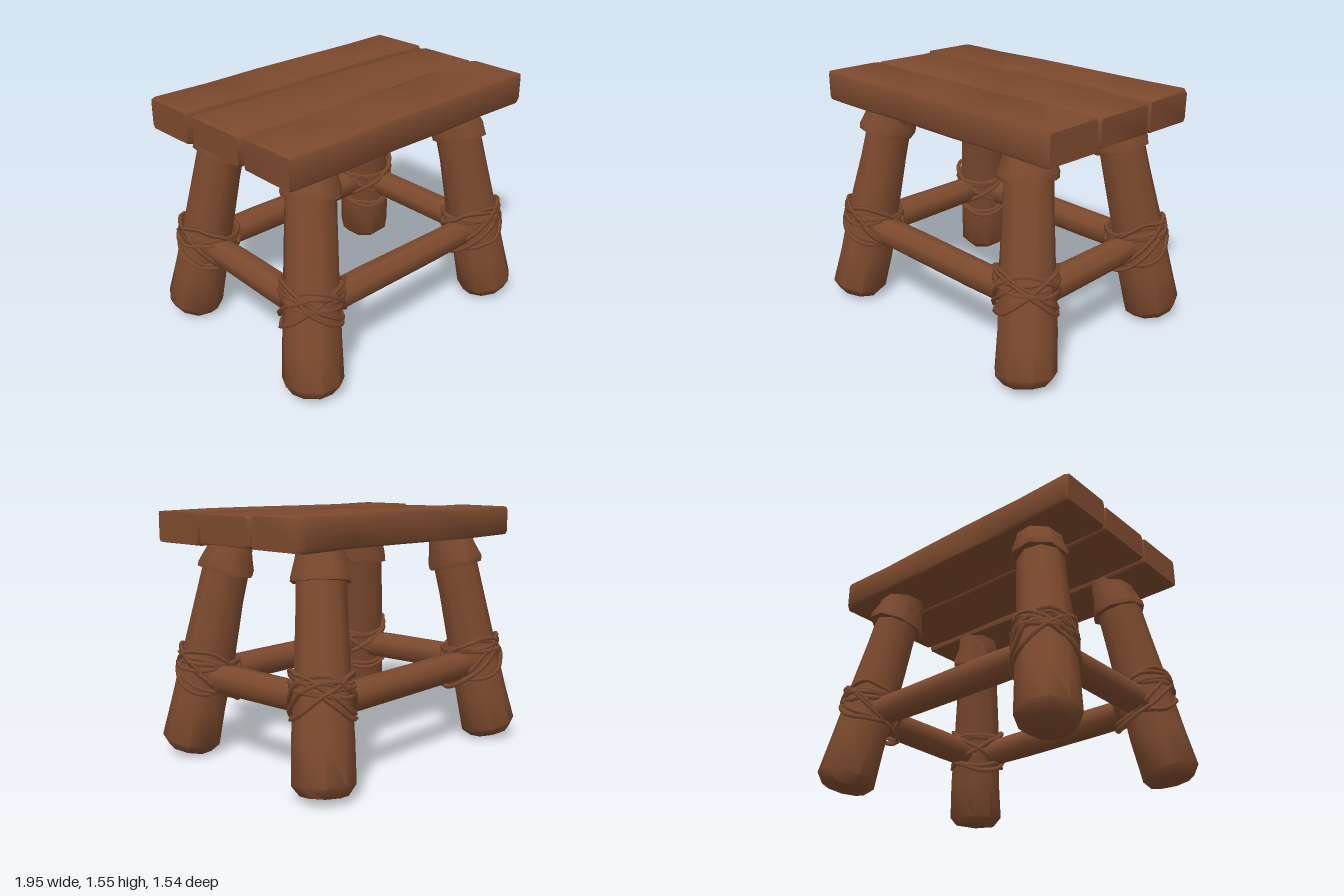
import * as THREE from 'three';
import { mergeVertices, toCreasedNormals } from 'three/addons/utils/BufferGeometryUtils.js';

const wood = new THREE.MeshStandardMaterial({ color: 0x7d4a2e });
wood.name = 'brownWood';

// Small seeded random source for hand-hewn irregularity
let seed = 7;
const rand = () => {
  seed = (seed * 16807) % 2147483647;
  return seed / 2147483647 - 0.5;
};

function add(parent, geometry, name) {
  const mesh = new THREE.Mesh(geometry, wood);
  mesh.name = name;
  parent.add(mesh);
  return mesh;
}

// Rough log turned from a [radius, height] profile; vertices shifted slightly but kept joined
function log(profile, sides, wobble, crease = 0.9) {
  let g = new THREE.LatheGeometry(profile.map(([r, y]) => new THREE.Vector2(r, y)), sides, 0.3);
  g.deleteAttribute('normal');
  g.deleteAttribute('uv');
  g = mergeVertices(g, 1e-4);
  const p = g.attributes.position;
  for (let i = 0; i < p.count; i++) {
    if (Math.hypot(p.getX(i), p.getZ(i)) < 0.01) continue;
    const k = 1 + rand() * wobble;
    p.setXYZ(i, p.getX(i) * k, p.getY(i) + rand() * wobble * 0.15, p.getZ(i) * k);
  }
  return toCreasedNormals(g, crease);
}

// Plank lofted along x from a chamfered section, with gently wavy edges
function plank(x0, x1, z0, z1, y0, y1) {
  const stations = [0, 0.015, 0.2, 0.4, 0.6, 0.8, 0.985, 1];
  const section = [[-1, -0.8], [-0.94, -1], [0.94, -1], [1, -0.8], [1, 0.8], [0.94, 1], [-0.94, 1], [-1, 0.8]];
  const n = section.length, pos = [], idx = [];
  const cy = (y0 + y1) / 2, cz = (z0 + z1) / 2, hy = (y1 - y0) / 2, hz = (z1 - z0) / 2;
  stations.forEach((t, s) => {
    const inset = s === 0 || s === stations.length - 1 ? 0.95 : 1;
    const shift = rand() * 0.012;
    for (const [a, b] of section) {
      pos.push(x0 + (x1 - x0) * t, cy + b * hy * inset + rand() * 0.008, cz + a * hz * inset + shift + rand() * 0.008);
    }
  });
  for (let s = 0; s < stations.length - 1; s++) {
    for (let i = 0; i < n; i++) {
      const a = s * n + i, b = s * n + (i + 1) % n;
      idx.push(a, a + n, b, b, a + n, b + n);
    }
  }
  const last = (stations.length - 1) * n;
  for (let i = 1; i < n - 1; i++) {
    idx.push(0, i, i + 1, last, last + i + 1, last + i);
  }
  // make the winding face outwards
  for (let i = 0; i < idx.length; i += 3) {
    const v = [0, 1, 2].map(k => new THREE.Vector3().fromArray(pos, idx[i + k] * 3));
    const normal = v[1].clone().sub(v[0]).cross(v[2].clone().sub(v[0]));
    const mid = v[0].clone().add(v[1]).add(v[2]).divideScalar(3);
    const out = new THREE.Vector3(0, mid.y - cy, mid.z - cz);
    if (Math.abs(normal.x) > Math.hypot(normal.y, normal.z)) out.set(mid.x, 0, 0);
    if (normal.dot(out) < 0) [idx[i + 1], idx[i + 2]] = [idx[i + 2], idx[i + 1]];
  }
  const g = new THREE.BufferGeometry();
  g.setAttribute('position', new THREE.Float32BufferAttribute(pos, 3));
  g.setIndex(idx);
  return toCreasedNormals(g, 1.0);
}

// Closed rope strand around a leg; height varies with the angle from the inner corner
function strand(inner, heightAt, bulge) {
  const pts = [];
  for (let i = 0; i < 14; i++) {
    const a = (i / 14) * Math.PI * 2;
    const r = 0.176 + bulge * Math.max(0, Math.cos(a)) + rand() * 0.014;
    pts.push(new THREE.Vector3(Math.cos(a + inner) * r, heightAt(a) + rand() * 0.02, Math.sin(a + inner) * r));
  }
  return new THREE.TubeGeometry(new THREE.CatmullRomCurve3(pts, true), 28, 0.015, 4, true);
}

// Centre line of a leg at height y
const legPoint = (sx, sz, y) => new THREE.Vector3(sx * (0.812 - 0.153 * y), y, sz * (0.61 - 0.165 * y));

function rail(parent, a, b, name) {
  const dir = b.clone().sub(a), len = dir.length();
  const mesh = add(parent, log([[0, 0], [0.09, 0], [0.094, len * 0.3], [0.092, len * 0.7], [0.088, len], [0, len]], 8, 0.05), name);
  mesh.position.copy(a);
  mesh.quaternion.setFromUnitVectors(new THREE.Vector3(0, 1, 0), dir.normalize());
}

export function createModel() {
  seed = 7;
  const stool = new THREE.Group();
  stool.name = 'stool';

  // Seat planks
  const seat = new THREE.Group();
  seat.name = 'seat';
  stool.add(seat);
  add(seat, plank(-0.975, 0.96, -0.595, -0.222, 1.365, 1.555), 'backPlank');
  add(seat, plank(-0.96, 0.965, -0.207, 0.222, 1.37, 1.545), 'middlePlank');
  add(seat, plank(-0.95, 0.968, 0.24, 0.632, 1.362, 1.552), 'frontPlank');

  // Splayed legs with collars and rope lashings
  for (const sx of [-1, 1]) {
    for (const sz of [-1, 1]) {
      const leg = new THREE.Group();
      leg.name = (sz > 0 ? 'front' : 'back') + (sx > 0 ? 'Left' : 'Right') + 'Leg';
      const foot = legPoint(sx, sz, 0.035);
      const axis = legPoint(sx, sz, 1.37).sub(foot).normalize();
      leg.position.copy(foot);
      leg.quaternion.setFromUnitVectors(new THREE.Vector3(0, 1, 0), axis);
      stool.add(leg);

      add(leg, log([[0, -0.015], [0.135, 0], [0.182, 0.06], [0.176, 0.3], [0.163, 0.65],
        [0.15, 1.0], [0.143, 1.3], [0, 1.3]], 9, 0.06), 'post');

      const collar = add(leg, log([[0, 1.17], [0.182, 1.17], [0.184, 1.2], [0.155, 1.3], [0.142, 1.4], [0, 1.4]], 8, 0.06), 'collar');
      collar.scale.set(0.9, 1, 1.05);

      const lashing = new THREE.Group();
      lashing.name = 'ropeLashing';
      leg.add(lashing);
      const inner = Math.atan2(-sz, -sx);
      const paths = [
        [() => 0.615, 0.01],
        [a => 0.60 + 0.03 * Math.cos(a), 0.015],
        [a => 0.585 + 0.05 * Math.cos(a + 0.5), 0.01],
        [a => 0.53 - 0.12 * Math.cos(a), 0.05],
        [a => 0.50 - 0.11 * Math.cos(a + 0.2), 0.06],
        [a => 0.54 + 0.13 * Math.sin(a), 0.03],
        [a => 0.54 - 0.13 * Math.sin(a), 0.03],
        [a => 0.56 - 0.12 * Math.sin(a + 0.2), 0.02],
      ];
      paths.forEach(([h, bulge]) => add(lashing, strand(inner, h, bulge), 'ropeStrand'));
    }
  }

  // Rails joining the legs
  for (const s of [-1, 1]) {
    rail(stool, legPoint(-1, s, 0.525), legPoint(1, s, 0.515), s > 0 ? 'frontRail' : 'backRail');
    rail(stool, legPoint(s, 1, 0.515), legPoint(s, -1, 0.53), s > 0 ? 'leftRail' : 'rightRail');
  }
  return stool;
}
